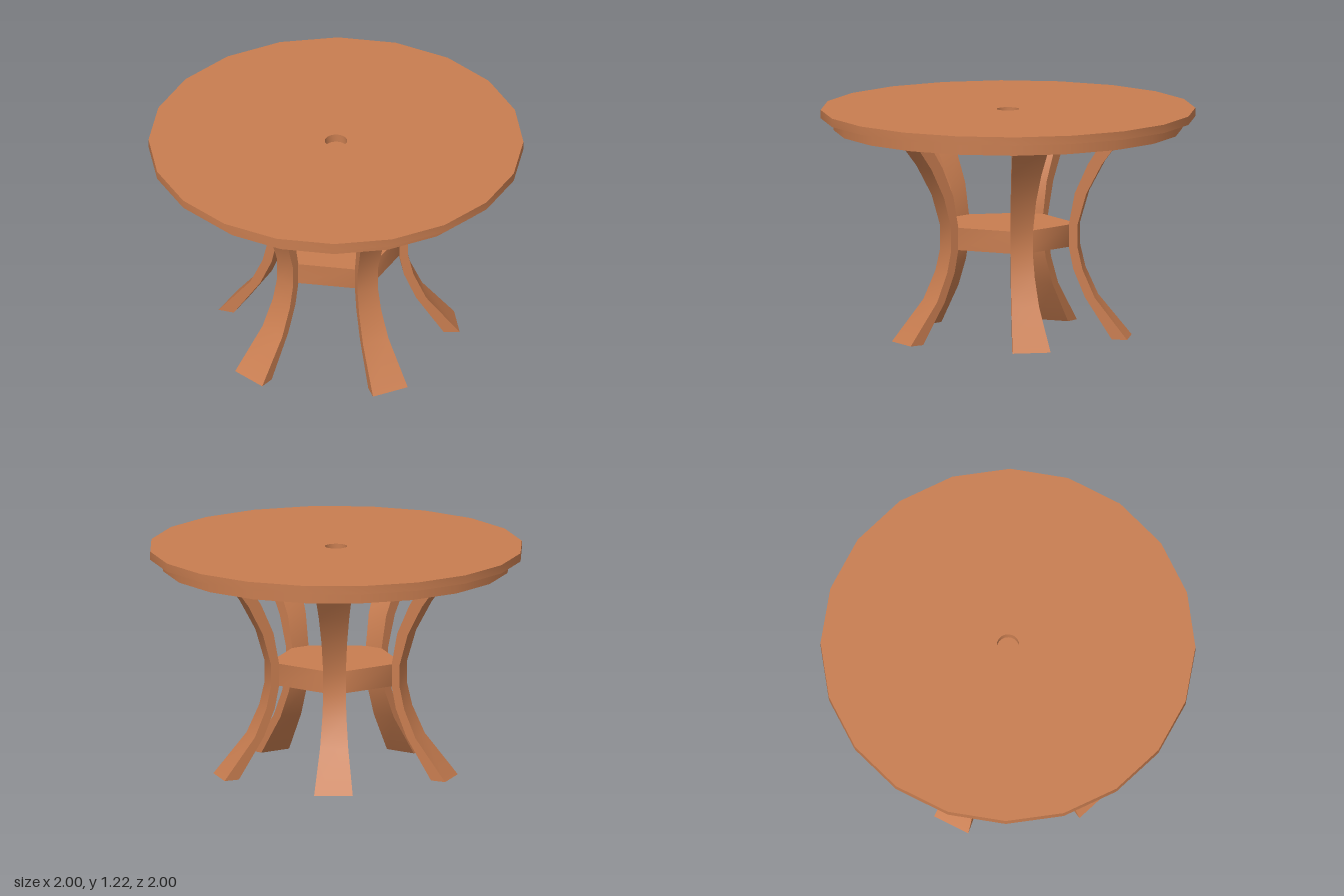
import * as THREE from 'three';
import { toCreasedNormals } from 'three/addons/utils/BufferGeometryUtils.js';

const SIDES = 20;
const STEP = (Math.PI * 2) / SIDES;
const CREASE = 0.7;

// Point at radius r, height y, angle counted in 18 degree steps from +x towards -z
const polar = (r, y, step) => [r * Math.cos(step * STEP), y, -r * Math.sin(step * STEP)];

// Closed solid through equal-sized rings, counter-clockwise from above, bottom to top
function loft(rings) {
  const n = rings[0].length;
  const last = (rings.length - 1) * n;
  const index = [];
  for (let l = 0; l < rings.length - 1; l++) {
    for (let i = 0; i < n; i++) {
      const a = l * n + i;
      const b = l * n + ((i + 1) % n);
      index.push(a, b, b + n, a, b + n, a + n);
    }
  }
  for (let i = 1; i < n - 1; i++) {
    index.push(0, i + 1, i);
    index.push(last, last + i, last + i + 1);
  }
  const geometry = new THREE.BufferGeometry();
  geometry.setAttribute('position', new THREE.Float32BufferAttribute(rings.flat(2), 3));
  geometry.setIndex(index);
  return toCreasedNormals(geometry, CREASE);
}

export function createModel() {
  const table = new THREE.Group();
  table.name = 'roundTable';
  const wood = new THREE.MeshStandardMaterial({ color: 0xc87d50 });
  wood.name = 'warmWood';

  const add = (name, geometry) => {
    const mesh = new THREE.Mesh(geometry, wood);
    mesh.name = name;
    table.add(mesh);
    return mesh;
  };

  // Tabletop with a central hole
  const profile = [[0.06, 1.175], [1, 1.175], [1, 1.22], [0.06, 1.22], [0.06, 1.175]];
  const top = new THREE.LatheGeometry(profile.map(([r, y]) => new THREE.Vector2(r, y)), SIDES);
  add('tabletop', toCreasedNormals(top, CREASE));

  // Solid apron below the top; it closes the bottom of the hole
  const apron = new THREE.CylinderGeometry(0.93, 0.93, 0.065, SIDES);
  apron.translate(0, 1.1425, 0);
  add('apron', apron);

  // Curved legs, each one an 18 degree wedge: height, inner radius, outer radius
  const legProfile = [
    [0, 0.575, 0.66], [0.22, 0.427, 0.481], [0.37, 0.362, 0.413], [0.49, 0.337, 0.385],
    [0.61, 0.337, 0.385], [0.78, 0.37, 0.434], [0.94, 0.443, 0.519], [1.11, 0.552, 0.645],
  ];
  for (let k = 0; k < 5; k++) {
    const s = k * 4;
    add('leg' + (k + 1), loft(legProfile.map(([y, inner, outer]) => [
      polar(inner, y, s), polar(outer, y, s), polar(outer, y, s + 1), polar(inner, y, s + 1),
    ])));
  }

  // Shelf spanning the waist of the legs
  const shelfRing = (y) => {
    const ring = [];
    for (let k = 0; k < 5; k++) ring.push(polar(0.338, y, k * 4), polar(0.338, y, k * 4 + 1));
    return ring;
  };
  add('shelf', loft([shelfRing(0.49), shelfRing(0.61)]));

  return table;
}
